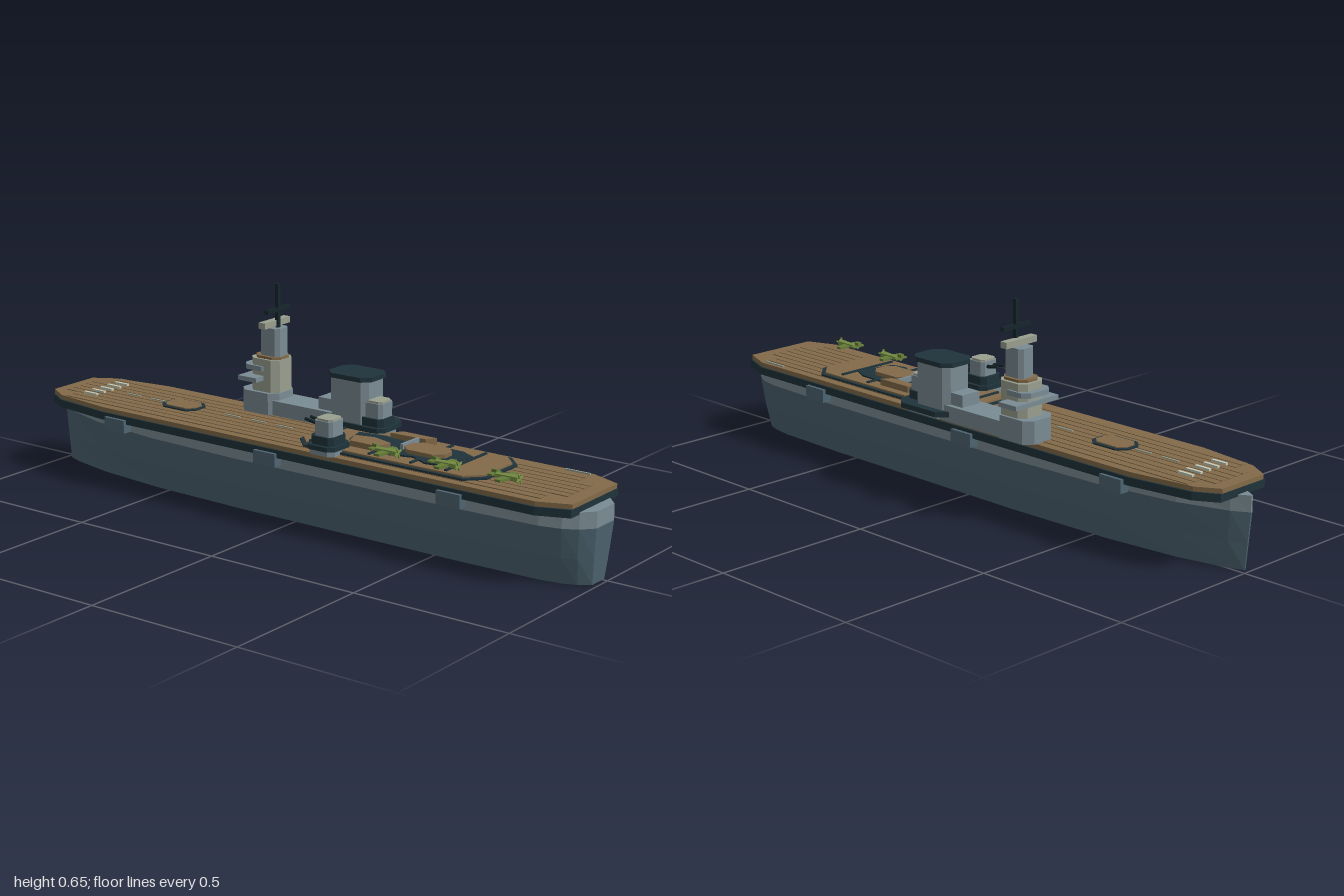
import * as THREE from 'three';

const CX = -0.022; // ship centreline
const paint = (name, color) => Object.assign(new THREE.MeshStandardMaterial({ color, flatShading: true }), { name });

export function createModel() {
  const hullBlue = paint('hull blue grey', 0x4e6572);
  const grey = paint('light grey', 0x7b8c94);
  const dark = paint('dark slate', 0x1f333b);
  const black = paint('mast black', 0x15252b);
  const wood = paint('deck wood', 0x836b49);
  const pale = paint('pale stone', 0x9aa08f);
  const white = paint('marking white', 0xc6ccb8);
  const green = paint('aircraft green', 0x647c38);
  const lightGreen = paint('aircraft light green', 0x7a9445);
  hullBlue.side = grey.side = THREE.DoubleSide;
  const ship = new THREE.Group();
  ship.name = 'aircraftCarrier';

  const add = (name, geo, mat, parent = ship) => {
    const m = new THREE.Mesh(geo, mat);
    m.name = name;
    parent.add(m);
    return m;
  };
  const box = (name, x0, x1, y0, y1, z0, z1, mat, parent) => {
    const m = add(name, new THREE.BoxGeometry(x1 - x0, y1 - y0, z1 - z0), mat, parent);
    m.position.set((x0 + x1) / 2, (y0 + y1) / 2, (z0 + z1) / 2);
    return m;
  };
  // Flat slab from an outline of [x, z] points
  const slab = (name, pts, y0, y1, mat, parent) => {
    const shape = new THREE.Shape(pts.map(([x, z]) => new THREE.Vector2(x, -z)));
    const geo = new THREE.ExtrudeGeometry(shape, { depth: y1 - y0, bevelEnabled: false });
    geo.rotateX(-Math.PI / 2).translate(0, y0, 0);
    return add(name, geo, mat, parent);
  };
  // Block with chamfered corners
  const block = (name, x0, x1, y0, y1, z0, z1, c, mat, parent) => slab(name, [
    [x0 + c, z0], [x1 - c, z0], [x1, z0 + c], [x1, z1 - c],
    [x1 - c, z1], [x0 + c, z1], [x0, z1 - c], [x0, z0 + c]], y0, y1, mat, parent);

  // Hull, open below: plan stations [z, half width], scaled at each level [y, width scale]
  const stations = [[-1, 0.003], [-0.95, 0.032], [-0.8, 0.08], [-0.55, 0.117], [-0.2, 0.132],
    [0.6, 0.132], [0.86, 0.122], [0.925, 0.107], [0.967, 0.084], [1, 0.047]];
  const ring = ([y, s]) => {
    const rake = 1 - 0.016 * Math.max(0, 1 - y / 0.17);
    const side = (k) => stations.map(([z, w]) => [CX + k * w * s, y, z * rake]);
    return [...side(1), ...side(-1).reverse()];
  };
  const hullPart = (name, levels, mat, capped) => {
    const rings = levels.map(ring), v = [], n = rings[0].length;
    const top = rings[rings.length - 1];
    for (let i = 0; i < n; i++) {
      const j = (i + 1) % n;
      for (let l = 0; l + 1 < rings.length; l++) {
        const lo = rings[l], hi = rings[l + 1];
        v.push(...lo[i], ...hi[i], ...hi[j], ...lo[i], ...hi[j], ...lo[j]);
      }
      if (capped) v.push(CX, top[0][1], 0, ...top[j], ...top[i]);
    }
    const geo = new THREE.BufferGeometry();
    geo.setAttribute('position', new THREE.Float32BufferAttribute(v, 3));
    geo.computeVertexNormals();
    add(name, geo, mat);
  };
  hullPart('hull', [[0, 0.68], [0.08, 0.87], [0.17, 1]], hullBlue, false);
  hullPart('upperHullBand', [[0.17, 1], [0.218, 0.96]], grey, true);

  // Flight deck with dark edge
  const deck = (g) => {
    const half = [[0.088, -0.968], [0.128, -0.9], [0.156, -0.7], [0.156, 0.87], [0.119, 0.965]];
    const side = (k) => half.map(([x, z]) => [CX + k * (x + g), z]);
    return [...side(1), ...side(-1).reverse()];
  };
  slab('deckEdge', deck(0.006), 0.212, 0.236, dark);
  slab('flightDeck', deck(0), 0.236, 0.25, wood);
  for (let i = -4; i <= 4; i++) {
    const x = CX + i * 0.029, inset = Math.abs(i) > 2 ? 0.07 : 0.02;
    box('deckPlank', x - 0.0125, x + 0.0125, 0.25, 0.2525, -0.95 + inset, 0.94 - inset, wood);
  }

  // Deck markings
  for (let i = -2; i <= 2; i++) {
    const x = CX + i * 0.036;
    box('bowMark', x - 0.005, x + 0.005, 0.252, 0.259, -0.852, -0.8, white);
  }
  for (let z = -0.74; z < -0.1; z += 0.1) {
    if (z > -0.6 && z < -0.4) continue;
    box('centreDash', CX - 0.003, CX + 0.003, 0.252, 0.2555, z, z + 0.06, pale);
  }
  box('edgeMark', 0.118, 0.124, 0.25, 0.2545, 0.78, 0.865, pale);

  // Forward lift
  block('liftFrame', -0.07, 0.026, 0.25, 0.257, -0.572, -0.436, 0.025, dark);
  block('liftPlatform', -0.06, 0.016, 0.25, 0.26, -0.562, -0.446, 0.021, wood);

  // Raised aft deck with wires and a damaged patch
  block('raisedDeckEdge', -0.15, 0.106, 0.25, 0.258, 0.01, 0.665, 0.05, dark);
  block('raisedDeck', -0.139, 0.095, 0.25, 0.263, 0.02, 0.652, 0.045, wood);
  for (const [z, x0, x1] of [[0.065, -0.125, 0.06], [0.28, -0.13, 0.05], [0.425, -0.13, 0.085], [0.545, -0.13, 0.08]]) {
    box('arrestorWire', x0, x1, 0.263, 0.268, z - 0.004, z + 0.004, dark);
  }
  slab('darkPatch', [[-0.045, 0.15], [0.03, 0.13], [0.045, 0.22], [0.03, 0.3], [0.05, 0.36], [0.045, 0.49],
    [0.02, 0.54], [-0.1, 0.51], [-0.11, 0.46], [-0.08, 0.4], [-0.1, 0.33], [-0.09, 0.26]], 0.262, 0.268, dark);
  block('raisedHatch', -0.068, 0.018, 0.266, 0.28, 0.345, 0.485, 0.025, wood);
  slab('brokenPlate', [[-0.1, 0.19], [-0.045, 0.17], [-0.03, 0.23], [-0.05, 0.3], [-0.1, 0.29]], 0.266, 0.283, wood);
  slab('brokenPlate', [[0.035, 0.24], [0.07, 0.26], [0.07, 0.38], [0.04, 0.36]], 0.263, 0.283, wood);
  box('barrier', -0.045, 0.04, 0.266, 0.284, 0.33, 0.34, grey);

  // Side sponsons
  for (const k of [-1, 1]) {
    for (const z of [-0.64, -0.052, 0.597]) {
      const x = CX + k * 0.157;
      box('sponson', x - 0.016, x + 0.016, 0.185, 0.226, z - 0.04, z + 0.04, hullBlue);
    }
  }

  // Island base and funnel
  block('islandBase', 0.06, 0.16, 0.25, 0.298, -0.34, 0.12, 0.02, grey);
  box('islandStep', 0.075, 0.145, 0.298, 0.335, -0.055, 0, grey);
  block('funnelLedge', 0.05, 0.19, 0.264, 0.28, -0.015, 0.19, 0.03, dark);
  block('funnelLedgeSupport', 0.06, 0.165, 0.25, 0.264, 0, 0.18, 0.03, grey);
  block('funnel', 0.058, 0.164, 0.28, 0.411, -0.008, 0.132, 0.018, grey);
  block('funnelCap', 0.05, 0.171, 0.411, 0.425, -0.016, 0.142, 0.025, dark);

  // Bridge tower
  block('towerBase', 0.05, 0.168, 0.25, 0.32, -0.345, -0.205, 0.025, grey);
  block('towerMiddle', 0.062, 0.16, 0.32, 0.422, -0.315, -0.208, 0.02, pale);
  box('bridgeWings', 0.024, 0.198, 0.356, 0.37, -0.325, -0.255, grey);
  block('bridgeGallery', 0.055, 0.167, 0.385, 0.4, -0.335, -0.24, 0.02, grey);
  block('towerPlatform', 0.07, 0.15, 0.422, 0.43, -0.305, -0.21, 0.02, wood);
  block('towerTop', 0.08, 0.14, 0.43, 0.517, -0.288, -0.214, 0.012, grey);
  box('upperYard', 0.048, 0.172, 0.52, 0.539, -0.262, -0.238, pale);
  box('mast', 0.104, 0.116, 0.517, 0.652, -0.243, -0.231, black);
  box('crossYard', 0.054, 0.166, 0.566, 0.578, -0.243, -0.231, black);

  // Twin gun turrets, aimed towards the bow
  for (const x of [-0.144, 0.1]) {
    const t = new THREE.Group();
    t.name = 'gunTurret';
    t.position.set(x, 0, 0.147);
    ship.add(t);
    block('turretFoot', -0.046, 0.046, 0.25, 0.268, -0.046, 0.046, 0.016, grey, t);
    block('turretLedge', -0.052, 0.052, 0.266, 0.28, -0.05, 0.05, 0.018, dark, t);
    block('turretRing', -0.041, 0.041, 0.28, 0.305, -0.041, 0.041, 0.014, dark, t);
    block('turretHouse', -0.034, 0.034, 0.303, 0.35, -0.03, 0.035, 0.01, grey, t);
    block('turretRoof', -0.03, 0.03, 0.35, 0.356, -0.026, 0.031, 0.01, pale, t);
    for (const k of [-1, 1]) {
      const b = add('gunBarrel', new THREE.CylinderGeometry(0.005, 0.006, 0.055, 6), black, t);
      b.position.set(k * 0.013, 0.337, -0.047);
      b.rotation.x = -Math.PI / 2 + 0.15;
    }
  }

  // Parked aircraft, noses towards the stern end
  for (const z of [0.335, 0.54, 0.742]) {
    const p = new THREE.Group();
    p.name = 'aircraft';
    p.position.set(-0.125, 0.284, z);
    ship.add(p);
    const body = add('fuselage', new THREE.CylinderGeometry(0.012, 0.006, 0.086, 6), lightGreen, p);
    body.rotation.x = Math.PI / 2;
    slab('wings', [[-0.045, -0.008], [0.045, -0.008], [0.045, 0.01], [0, 0.02], [-0.045, 0.01]], -0.006, 0.001, green, p);
    box('tailplane', -0.023, 0.023, 0, 0.005, -0.045, -0.03, green, p);
    box('tailFin', -0.003, 0.003, 0, 0.014, -0.045, -0.03, green, p);
    for (const a of [0.4, 0.4 + Math.PI / 2]) {
      box('propeller', -0.016, 0.016, -0.0025, 0.0025, 0.043, 0.047, lightGreen, p).rotation.z = a;
    }
  }
  return ship;
}
